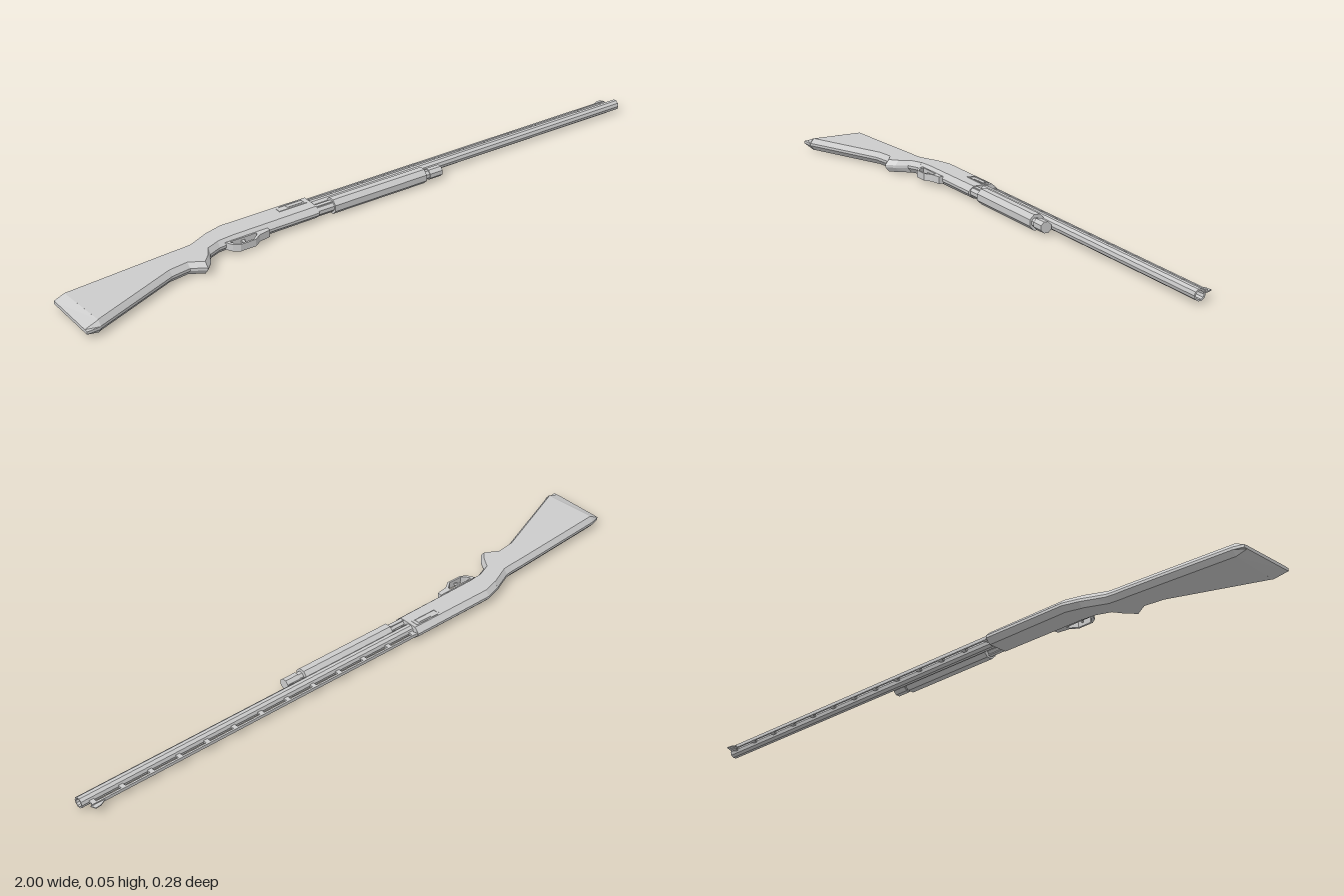
import * as THREE from 'three';

const mat = new THREE.MeshStandardMaterial({ color: 0xcccccc, flatShading: true, side: THREE.DoubleSide });

function add(parent, name, geo, x = 0, y = 0, z = 0) {
  const m = new THREE.Mesh(geo, mat);
  m.name = name;
  m.position.set(x, y, z);
  parent.add(m);
  return m;
}

// Bevelled slab through stations [xTop, yTop, xBottom, yBottom, halfWidth, bevel]
function slab(stations) {
  const pos = [], idx = [], n = 8, ridge = 0.004;
  for (const [xt, yt, xb, yb, h, b] of stations) {
    const t = b / (yt - yb);
    for (const [k, z] of [[0, ridge], [t, h], [1 - t, h], [1, ridge], [1, -ridge], [1 - t, -h], [t, -h], [0, -ridge]])
      pos.push(xt + (xb - xt) * k, yt + (yb - yt) * k, z);
  }
  const last = (stations.length - 1) * n;
  for (let s = 0; s < last; s += n)
    for (let j = 0; j < n; j++) {
      const a = s + j, b = s + (j + 1) % n;
      idx.push(a, b, b + n, a, b + n, a + n);
    }
  for (let j = 1; j < n - 1; j++) {
    idx.push(0, j + 1, j);
    idx.push(last, last + j, last + j + 1);
  }
  const g = new THREE.BufferGeometry();
  g.setAttribute('position', new THREE.Float32BufferAttribute(pos, 3));
  g.setIndex(idx);
  const flat = g.toNonIndexed();
  flat.computeVertexNormals();
  return flat;
}

// Faceted rod or sleeve along x
function rod(x0, x1, r, sides, bore = 0) {
  const profile = [[bore, x0], [r, x0], [r, x1], [bore, x1]];
  if (bore) profile.push([bore, x1 - 0.1], [0, x1 - 0.1]);
  const g = new THREE.LatheGeometry(profile.map(p => new THREE.Vector2(...p)), sides);
  return g.rotateY(Math.PI / sides).rotateZ(-Math.PI / 2);
}

// Flat outline extruded evenly about z = 0
function plate(points, width, hole) {
  const s = new THREE.Shape(points.map(p => new THREE.Vector2(...p)));
  if (hole) s.holes.push(new THREE.Path(hole.map(p => new THREE.Vector2(...p))));
  return new THREE.ExtrudeGeometry(s, { depth: width, bevelEnabled: false }).translate(0, 0, -width / 2);
}

export function createModel() {
  const root = new THREE.Group();
  root.name = 'shotgun';

  // Modelled upright (y up, z across), then laid on its side
  const gun = new THREE.Group();
  gun.name = 'layingBody';
  gun.rotation.x = -Math.PI / 2;
  gun.position.y = 0.023;
  root.add(gun);

  // Butt pad, stock with grip, and receiver
  const H = 0.019;
  add(gun, 'buttPad', slab([
    [-1, 0.047, -1, -0.139, 0.005, 0.012],
    [-0.97, 0.056, -0.958, -0.137, H, 0.012],
  ]));
  add(gun, 'stock', slab([
    [-0.97, 0.056, -0.958, -0.135, H, 0.012],
    [-0.70, 0.076, -0.68, -0.024, H, 0.012],
    [-0.63, 0.081, -0.62, -0.016, H, 0.012],
    [-0.59, 0.083, -0.578, -0.040, H, 0.012],
    [-0.565, 0.086, -0.555, -0.016, H, 0.012],
    [-0.535, 0.099, -0.535, 0.018, H, 0.012],
    [-0.495, 0.117, -0.495, 0.034, H, 0.012],
  ]));
  add(gun, 'receiver', slab([
    [-0.495, 0.117, -0.495, 0.034, H, 0.013],
    [-0.445, 0.132, -0.445, 0.038, H, 0.014],
    [-0.16, 0.134, -0.16, 0.040, H, 0.016],
  ]));

  // Ejection port on one side: rim and bolt
  add(gun, 'ejectionPortRim', plate(
    [[-0.265, 0.088], [-0.172, 0.088], [-0.172, 0.114], [-0.255, 0.114], [-0.265, 0.107]], 0.003,
    [[-0.258, 0.092], [-0.258, 0.105], [-0.252, 0.110], [-0.178, 0.110], [-0.178, 0.092]]), 0, 0, H);
  add(gun, 'bolt', new THREE.BoxGeometry(0.05, 0.012, 0.002), -0.208, 0.102, H);

  // Trigger guard and trigger
  add(gun, 'triggerGuard', plate(
    [[-0.475, 0.04], [-0.463, 0.018], [-0.445, 0.006], [-0.395, 0.006], [-0.372, 0.022], [-0.335, 0.028], [-0.335, 0.042]], 0.022,
    [[-0.463, 0.036], [-0.375, 0.036], [-0.378, 0.028], [-0.398, 0.012], [-0.442, 0.012], [-0.455, 0.022]]));
  add(gun, 'trigger', plate(
    [[-0.425, 0.042], [-0.427, 0.026], [-0.418, 0.014], [-0.414, 0.015], [-0.418, 0.027], [-0.41, 0.042]], 0.007));

  // Barrel with open bore
  add(gun, 'barrel', rod(-0.17, 1, 0.0165, 10, 0.012), 0, 0.095, 0);

  // Magazine tube, cap and barrel clamp
  add(gun, 'magazineTube', rod(-0.17, 0.26, 0.0145, 8), 0, 0.059, 0);
  add(gun, 'magazineCap', rod(0.235, 0.28, 0.0175, 8), 0, 0.059, 0);
  add(gun, 'barrelClamp', new THREE.BoxGeometry(0.03, 0.03, 0.012), 0.245, 0.077, 0);

  // Sliding fore-end, octagonal, and its two action bars
  add(gun, 'foreEnd', rod(-0.105, 0.22, 0.0249, 8), 0, 0.063, 0);
  for (const s of [-1, 1])
    add(gun, 'actionBar', new THREE.BoxGeometry(0.08, 0.012, 0.003), -0.13, 0.062, s * 0.0155);

  // Ventilated rib on evenly spaced posts
  add(gun, 'rib', new THREE.BoxGeometry(1.14, 0.006, 0.010), 0.41, 0.127, 0);
  const posts = 13;
  for (let i = 0; i < posts; i++)
    add(gun, 'ribPost', new THREE.BoxGeometry(0.014, 0.018, 0.007), -0.15 + i * 1.12 / (posts - 1), 0.117, 0);

  // Front sight blade
  add(gun, 'frontSight', plate([[0.935, 0.128], [0.96, 0.141], [0.978, 0.143], [0.985, 0.128]], 0.003));

  return root;
}
